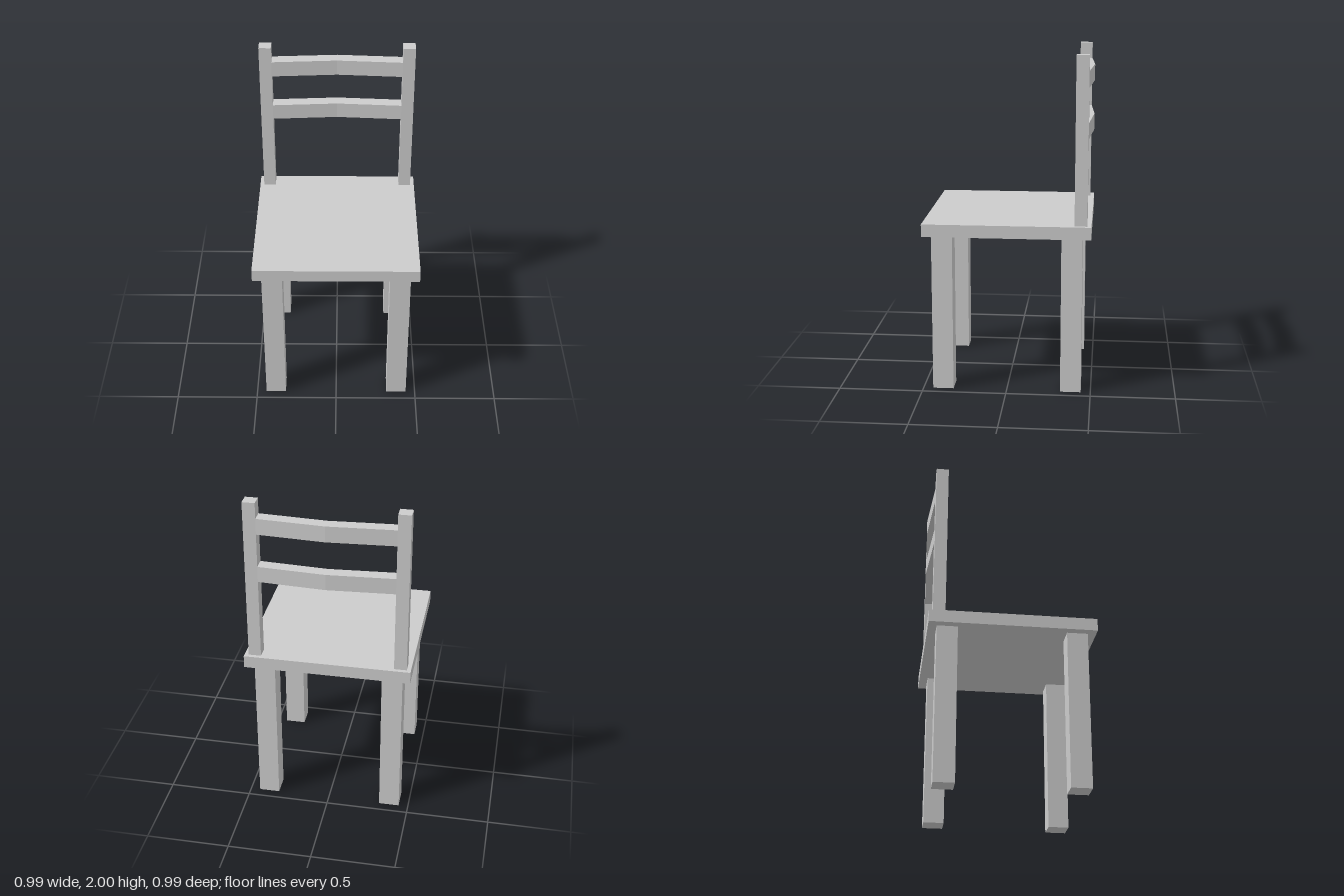
import * as THREE from 'three';

export function createModel() {
  const chair = new THREE.Group();
  chair.name = 'chair';
  const grey = new THREE.MeshStandardMaterial({ color: 0xcccccc });
  grey.name = 'light grey';

  const add = (name, geometry, x, y, z) => {
    const mesh = new THREE.Mesh(geometry, grey);
    mesh.name = name;
    mesh.position.set(x, y, z);
    chair.add(mesh);
  };

  // Seat
  add('seat', new THREE.BoxGeometry(0.985, 0.075, 0.985), 0, 0.983, 0);

  // Legs and back posts, mirrored left and right
  const legGeometry = new THREE.BoxGeometry(0.123, 0.945, 0.123);
  const postGeometry = new THREE.BoxGeometry(0.074, 0.98, 0.074);
  for (const [side, s] of [['left', 1], ['right', -1]]) {
    add(side + 'FrontLeg', legGeometry, s * 0.381, 0.4725, 0.381);
    add(side + 'BackLeg', legGeometry, s * 0.381, 0.4725, -0.381);
    add(side + 'BackPost', postGeometry, s * 0.431, 1.51, -0.432);
  }

  // Back slats, bent backwards at the middle
  const bend = new THREE.Shape([
    [-0.394, -0.395], [-0.394, -0.469], [0, -0.493],
    [0.394, -0.469], [0.394, -0.395], [0, -0.42],
  ].map(([x, z]) => new THREE.Vector2(x, z)));
  const slatGeometry = new THREE.ExtrudeGeometry(bend, { depth: 0.096, bevelEnabled: false });
  slatGeometry.rotateX(Math.PI / 2);
  add('upperSlat', slatGeometry, 0, 1.906, 0);
  add('lowerSlat', slatGeometry, 0, 1.609, 0);

  return chair;
}
